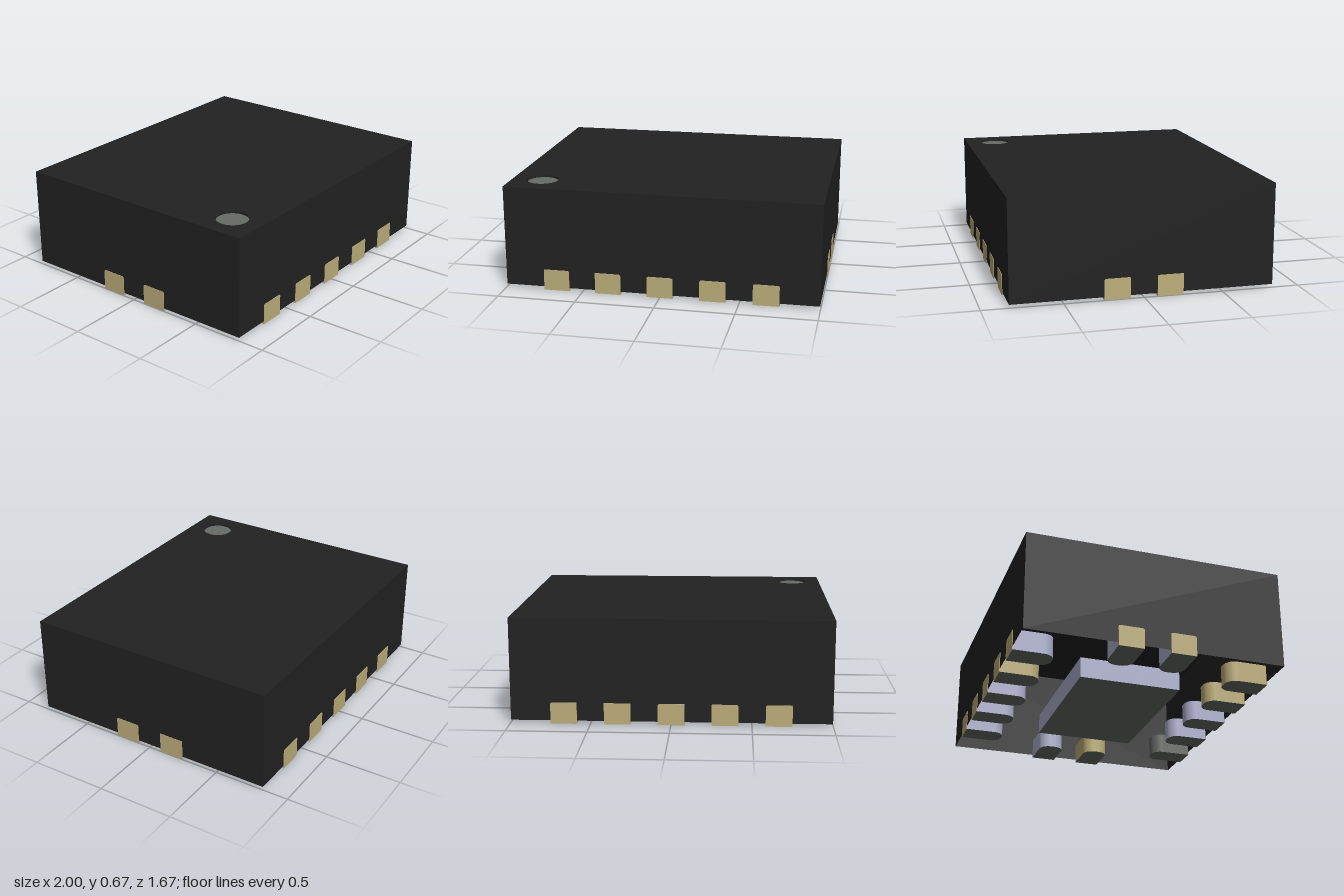
import * as THREE from 'three';
import { toCreasedNormals } from 'three/addons/utils/BufferGeometryUtils.js';

const W = 0.997, D = 0.83, BOTTOM = 0.02, TOP = 0.667; // housing half sizes and heights
const PAD_W = 0.165, PAD_L = 0.265, PAD_H = 0.135;

function material(name, color, side = THREE.FrontSide) {
  const m = new THREE.MeshStandardMaterial({ color, side });
  m.name = name;
  return m;
}

function addMesh(parent, name, geometry, mat) {
  const mesh = new THREE.Mesh(geometry, mat);
  mesh.name = name;
  parent.add(mesh);
  return mesh;
}

// Rectangle on the line y = 0 with its two far corners rounded
function roundedTab(w, h, r) {
  const s = new THREE.Shape();
  s.moveTo(-w / 2, 0);
  s.lineTo(w / 2, 0);
  s.lineTo(w / 2, h - r);
  s.absarc(w / 2 - r, h - r, r, 0, Math.PI / 2);
  s.lineTo(-w / 2 + r, h);
  s.absarc(-w / 2 + r, h - r, r, Math.PI / 2, Math.PI);
  s.closePath();
  return s;
}

export function createModel() {
  const black = material('housing black', 0x222222, THREE.DoubleSide);
  const grey = material('marker grey', 0x676b67, THREE.DoubleSide);
  const gold = material('contact gold', 0xbdae7a);
  const silver = material('pad silver', 0xb0b2d0);
  const model = new THREE.Group();
  model.name = 'chipPackage';

  // Housing: an open-bottomed shell
  const housing = new THREE.Group();
  housing.name = 'housing';
  model.add(housing);
  const h = TOP - BOTTOM;
  for (let i = 0; i < 4; i++) {
    const alongX = i % 2 === 0;
    const wall = addMesh(housing, 'wall', new THREE.PlaneGeometry(2 * (alongX ? W : D), h), black);
    const angle = i * Math.PI / 2, dist = alongX ? D : W;
    wall.position.set(Math.sin(angle) * dist, BOTTOM + h / 2, Math.cos(angle) * dist);
    wall.rotation.y = angle;
  }

  // Top face with a shallow round pocket for the orientation dot
  const dotX = -0.8, dotZ = 0.63, dotR = 0.1, dotDepth = 0.012;
  const top = new THREE.Shape([[-W, -D], [W, -D], [W, D], [-W, D]].map(p => new THREE.Vector2(...p)));
  top.holes.push(new THREE.Path().absarc(dotX, -dotZ, dotR, 0, Math.PI * 2));
  const topFace = addMesh(housing, 'topFace', new THREE.ShapeGeometry(top, 32), black);
  topFace.rotation.x = -Math.PI / 2;
  topFace.position.y = TOP;

  const rim = addMesh(housing, 'dotRim', new THREE.CylinderGeometry(dotR, dotR, dotDepth, 48, 1, true), black);
  rim.position.set(dotX, TOP - dotDepth / 2, dotZ);
  const dot = addMesh(model, 'orientationDot', new THREE.CircleGeometry(dotR, 48), grey);
  dot.rotation.x = -Math.PI / 2;
  dot.position.set(dotX, TOP - dotDepth, dotZ);

  // Contact pads: a block with a rounded inner end and a gold outer face
  const blockGeo = toCreasedNormals(new THREE.ExtrudeGeometry(
    roundedTab(PAD_W, PAD_L, 0.07), { depth: PAD_H, bevelEnabled: false, curveSegments: 8 }
  ).rotateX(-Math.PI / 2), 0.6);
  const faceGeo = new THREE.ExtrudeGeometry(
    roundedTab(PAD_W, PAD_H, 0.012), { depth: 0.003, bevelEnabled: false, curveSegments: 4 });

  function addPad(x, z, angle, sideMaterial) {
    const pad = new THREE.Group();
    pad.name = 'contactPad';
    addMesh(pad, 'padBlock', blockGeo, [grey, sideMaterial]);
    addMesh(pad, 'padFace', faceGeo, gold);
    pad.position.set(x, 0, z);
    pad.rotation.y = angle;
    model.add(pad);
  }

  const frontSides = [gold, gold, silver, silver, grey];
  const backSides = [silver, gold, silver, silver, silver];
  for (let i = 0; i < 5; i++) {
    const x = (i - 2) / 3;
    addPad(x, D, 0, frontSides[i]);
    addPad(x, -D, Math.PI, backSides[i]);
  }
  addPad(W, 0.167, Math.PI / 2, gold);
  addPad(W, -0.167, Math.PI / 2, silver);
  addPad(-W, 0.167, -Math.PI / 2, silver);
  addPad(-W, -0.167, -Math.PI / 2, silver);

  // Large central pad, grey underneath and silver on its sides
  const centre = addMesh(model, 'centrePad', new THREE.BoxGeometry(1, PAD_H, 0.667),
    [silver, silver, grey, grey, silver, silver]);
  centre.position.y = PAD_H / 2;

  return model;
}
